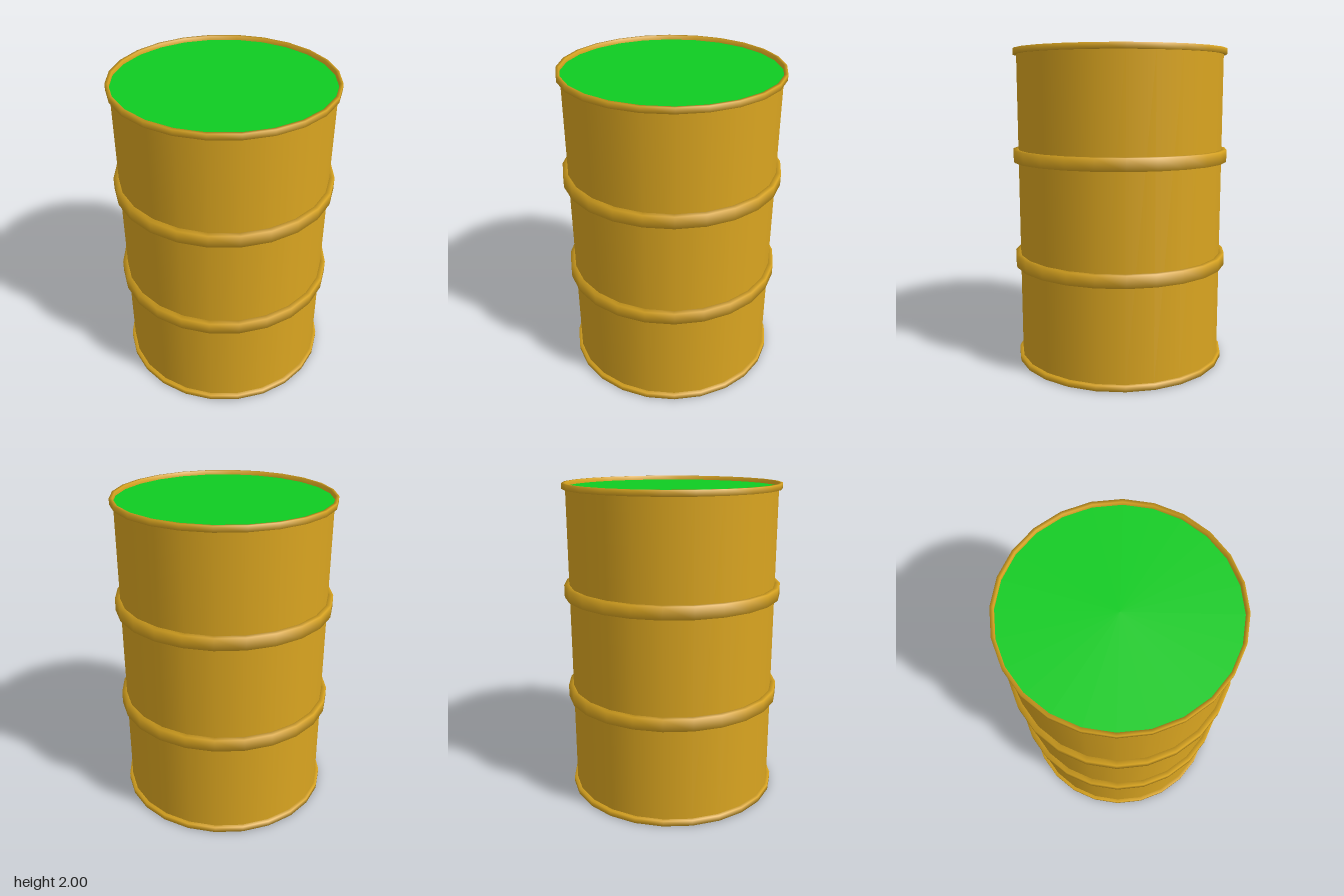
import * as THREE from 'three';

const SIDES = 24;

// Closed ring with a rectangular section, shaded smoothly
function ring(name, inner, outer, bottom, top, material) {
  const profile = [[inner, bottom], [outer, bottom], [outer, top], [inner, top], [inner, bottom]]
    .map(([r, y]) => new THREE.Vector2(r, y));
  const mesh = new THREE.Mesh(new THREE.LatheGeometry(profile, SIDES), material);
  mesh.name = name;
  return mesh;
}

export function createModel() {
  const group = new THREE.Group();
  group.name = 'barrel';

  const gold = new THREE.MeshStandardMaterial({ color: 0xdaa520 });
  gold.name = 'gold paint';
  const green = new THREE.MeshStandardMaterial({ color: 0x0fcc22 });
  green.name = 'green liquid';

  // Drum body with closed bottom
  const radius = 0.655, height = 1.97;
  const body = new THREE.Mesh(new THREE.CylinderGeometry(radius, radius, height, SIDES), gold);
  body.name = 'body';
  body.position.y = height / 2;
  group.add(body);

  // Liquid surface just below the top rim
  const liquid = new THREE.Mesh(new THREE.CircleGeometry(radius + 0.003, SIDES), green);
  liquid.name = 'liquid';
  liquid.rotation.x = -Math.PI / 2;
  liquid.position.y = height + 0.004;
  group.add(liquid);

  // End rims
  group.add(ring('bottomRim', 0.64, 0.677, 0.003, 0.038, gold));
  group.add(ring('topRim', 0.657, 0.677, 1.965, 2, gold));

  // Two hoops around the middle
  group.add(ring('lowerHoop', 0.64, 0.687, 0.632, 0.709, gold));
  group.add(ring('upperHoop', 0.64, 0.687, 1.3, 1.377, gold));

  return group;
}
